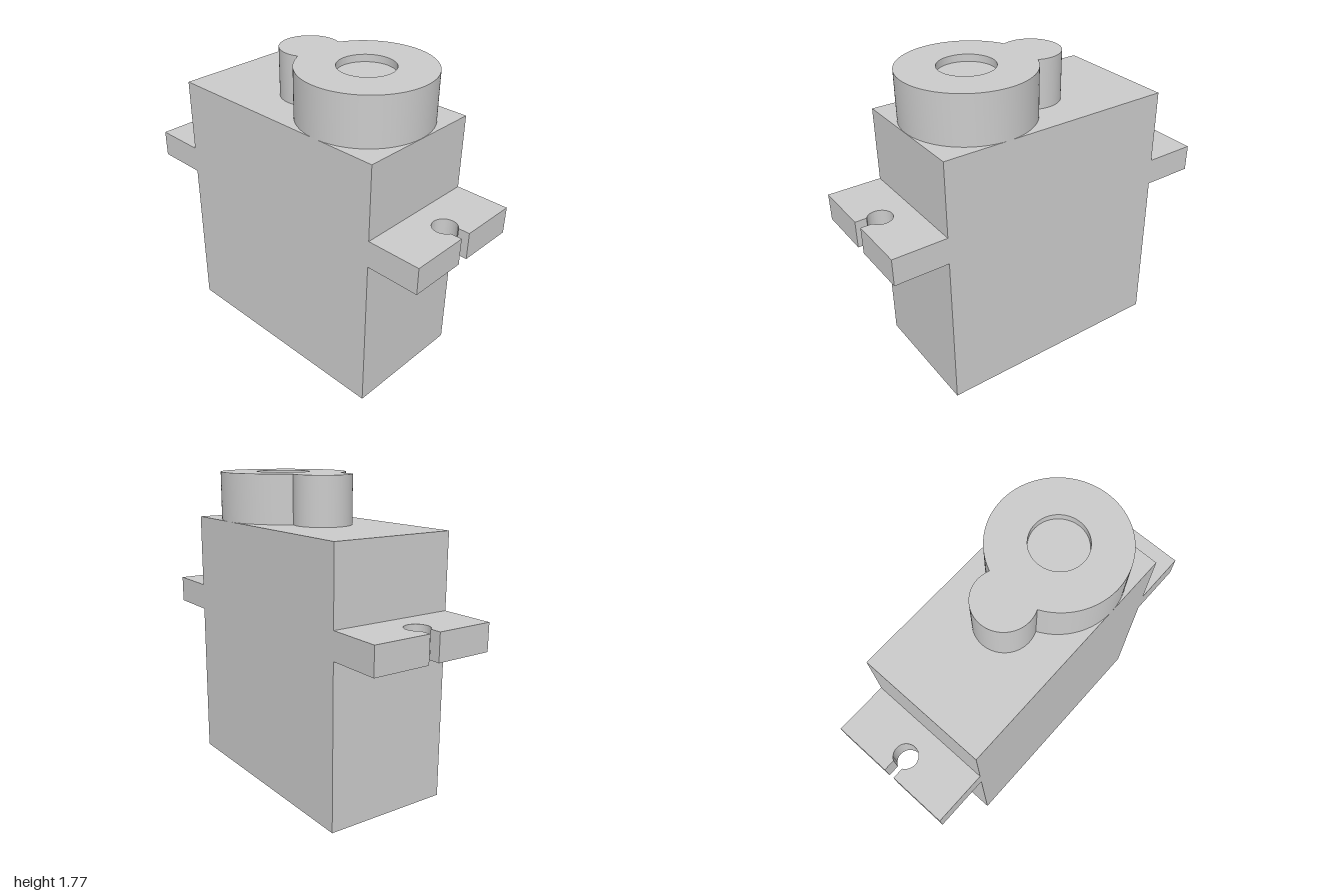
import * as THREE from 'three';
import { toCreasedNormals } from 'three/addons/utils/BufferGeometryUtils.js';

const material = new THREE.MeshStandardMaterial({ color: 0xcccccc });
const HALF_X = 0.692, HALF_Z = 0.368, BODY_TOP = 1.5, HEAD_TOP = 1.775;

function addMesh(parent, name, geometry) {
  const mesh = new THREE.Mesh(geometry, material);
  mesh.name = name;
  parent.add(mesh);
  return mesh;
}

// Extrudes a plan-view shape upwards from y0 to y1
function slab(shape, y0, y1) {
  const g = new THREE.ExtrudeGeometry(shape, { depth: y1 - y0, bevelEnabled: false, curveSegments: 64 });
  g.rotateX(-Math.PI / 2).translate(0, y0, 0);
  return toCreasedNormals(g, 0.5);
}

// Mounting ear with a round screw hole opening to the end through a slot
function earShape() {
  const cx = 0.875, r = 0.068, slot = 0.032;
  const a = Math.asin(slot / r);
  const s = new THREE.Shape();
  s.moveTo(HALF_X, -HALF_Z);
  s.lineTo(1, -HALF_Z);
  s.lineTo(1, -slot);
  s.lineTo(cx + r * Math.cos(a), -slot);
  s.absarc(cx, 0, r, -a, a - Math.PI * 2, true);
  s.lineTo(1, slot);
  s.lineTo(1, HALF_Z);
  s.lineTo(HALF_X, HALF_Z);
  s.closePath();
  return s;
}

// Union of the large gear housing and the small one beside it
function headShape(cx, R, sx, r, hole) {
  const d = cx - sx;
  const a = (d * d + R * R - r * r) / (2 * d);
  const h = Math.sqrt(R * R - a * a);
  const big = Math.atan2(h, -a);
  const small = Math.atan2(h, d - a);
  const s = new THREE.Shape();
  s.absarc(cx, 0, R, -big, big, false);
  s.absarc(sx, 0, r, small, Math.PI * 2 - small, false);
  s.closePath();
  s.holes.push(new THREE.Path().absarc(cx, 0, hole, 0, Math.PI * 2, true));
  return s;
}

export function createModel() {
  const model = new THREE.Group();
  model.name = 'servoMotor';

  // Main case
  const body = new THREE.BoxGeometry(HALF_X * 2, BODY_TOP, HALF_Z * 2);
  addMesh(model, 'body', body.translate(0, BODY_TOP / 2, 0));

  // Mounting ears on both ends
  const ear = slab(earShape(), 0.92, 1.075);
  addMesh(model, 'leftMountingEar', ear);
  addMesh(model, 'rightMountingEar', ear).rotation.y = Math.PI;

  // Gear housing with a shallow round recess
  const cx = 0.322, hole = 0.155;
  addMesh(model, 'gearHousing', slab(headShape(cx, HALF_Z, -0.08, 0.165, hole), BODY_TOP, HEAD_TOP));
  const floor = new THREE.CircleGeometry(hole, 64).rotateX(-Math.PI / 2);
  addMesh(model, 'recessFloor', floor.translate(cx, HEAD_TOP - 0.04, 0));

  return model;
}
